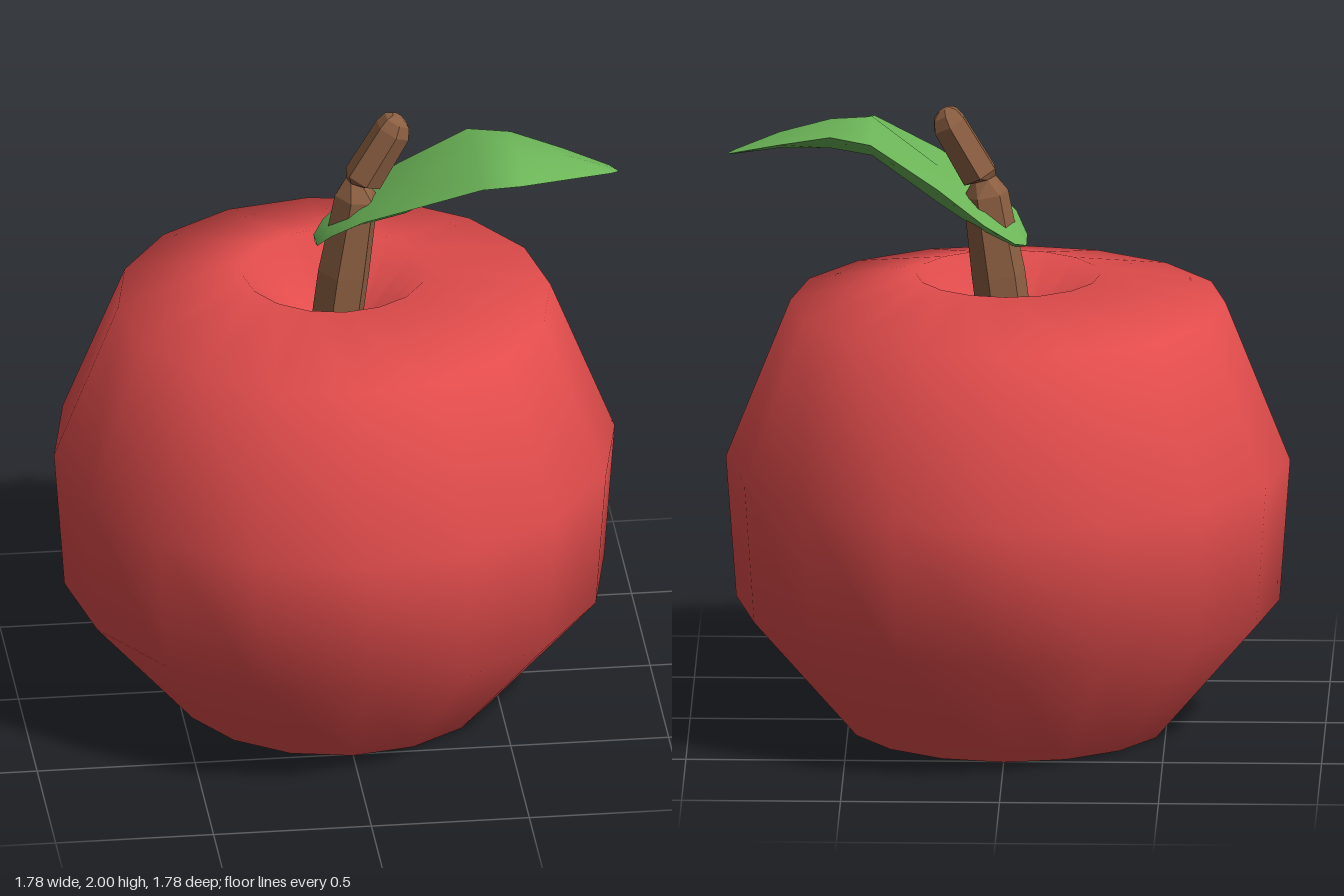
import * as THREE from 'three';

const mat = (color, extra = {}) => new THREE.MeshStandardMaterial({ color, roughness: 0.8, ...extra });
const red = mat(0xe24c4c);
const brown = mat(0x8c5f42, { flatShading: true });
const green = mat(0x6cb558, { side: THREE.DoubleSide });

function addMesh(parent, name, geometry, material) {
  const mesh = new THREE.Mesh(geometry, material);
  mesh.name = name;
  parent.add(mesh);
  return mesh;
}

// Joins equal-length rows of points into a smooth or flat-shaded sheet
function loft(rows, closed) {
  const n = rows[0].length, index = [];
  for (let i = 0; i < rows.length - 1; i++) {
    for (let j = 0; j < (closed ? n : n - 1); j++) {
      const a = i * n + j, b = i * n + (j + 1) % n;
      index.push(a, a + n, b, b, a + n, b + n);
    }
  }
  const geometry = new THREE.BufferGeometry().setFromPoints(rows.flat());
  geometry.setIndex(index);
  geometry.computeVertexNormals();
  return geometry;
}

// Fruit: 16-sided turned body with a steep dimple, plus a flat underside
function createFruit() {
  const fruit = new THREE.Group();
  fruit.name = 'fruit';
  const profile = [[0.51, 0], [0.855, 0.4], [0.888, 0.855], [0.685, 1.365], [0.29, 1.455], [0.1, 1.27], [0, 1.24]];
  addMesh(fruit, 'body', new THREE.LatheGeometry(profile.map(p => new THREE.Vector2(...p)), 16), red);
  addMesh(fruit, 'underside', new THREE.CircleGeometry(0.51, 16).rotateX(Math.PI / 2), red);
  return fruit;
}

// Stem: six-sided rings [x, y, radius, lean, twist] with a twisted pinch halfway
function createStem() {
  const rings = [
    [0.0, 1.22, 0.085, 0.12, -0.17],
    [0.03, 1.455, 0.085, 0.12, -0.17],
    [0.07, 1.715, 0.072, 0.15, -0.17],
    [0.075, 1.765, 0.04, 0.3, 0.2],
    [0.09, 1.775, 0.064, 0.5, 0.45],
    [0.185, 1.94, 0.06, 0.5, 0.45],
    [0.198, 1.973, 0.045, 0.5, 0.45],
    [0.2, 1.99, 0.02, 0.45, 0.45],
    [0.2, 1.992, 0, 0.45, 0.45],
  ];
  const rows = rings.map(([x, y, r, lean, twist]) => Array.from({ length: 6 }, (_, j) => {
    const a = twist + j * Math.PI / 3, u = r * Math.cos(a);
    return new THREE.Vector3(x + u * Math.cos(lean), y - u * Math.sin(lean), -r * Math.sin(-a));
  }));
  const geometry = loft(rows, true);
  return geometry;
}

// Leaf: arched top sheet and keeled lower sheet sharing their two edges
// Stations: x, back z, back y, front z, front y, top y, keel y, keel z
const leafStations = [
  [-0.06, -0.05, 1.56, 0.05, 1.57, 1.565, 1.55, -0.02],
  [-0.025, -0.11, 1.58, 0.11, 1.63, 1.615, 1.555, -0.05],
  [0.07, -0.155, 1.65, 0.18, 1.71, 1.69, 1.59, -0.03],
  [0.22, -0.125, 1.76, 0.26, 1.79, 1.785, 1.67, 0.05],
  [0.43, -0.08, 1.89, 0.33, 1.88, 1.93, 1.81, 0.1],
  [0.56, -0.025, 1.9, 0.29, 1.865, 1.92, 1.83, 0.11],
  [0.72, 0.03, 1.86, 0.21, 1.84, 1.88, 1.83, 0.11],
  [0.86, 0.085, 1.82, 0.135, 1.815, 1.825, 1.81, 0.11],
  [0.885, 0.105, 1.81, 0.115, 1.81, 1.812, 1.808, 0.11],
];

function createLeaf() {
  const leaf = new THREE.Group();
  leaf.name = 'leaf';
  const top = [], bottom = [];
  for (const [x, zb, yb, zf, yf, yt, yk, zk] of leafStations) {
    const back = new THREE.Vector3(x, yb, zb), front = new THREE.Vector3(x, yf, zf);
    const crown = new THREE.Vector3(x, yt, (zb + zf) / 2), keel = new THREE.Vector3(x, yk, zk);
    top.push([front, crown, back]);
    bottom.push([back, keel, front]);
  }
  addMesh(leaf, 'leafTop', loft(top, false), green);
  addMesh(leaf, 'leafUnderside', loft(bottom, false), green);
  return leaf;
}

export function createModel() {
  const model = new THREE.Group();
  model.name = 'apple';
  model.add(createFruit());
  // Rings run clockwise seen from above, so faces point outward
  addMesh(model, 'stem', createStem(), brown);
  model.add(createLeaf());
  return model;
}
